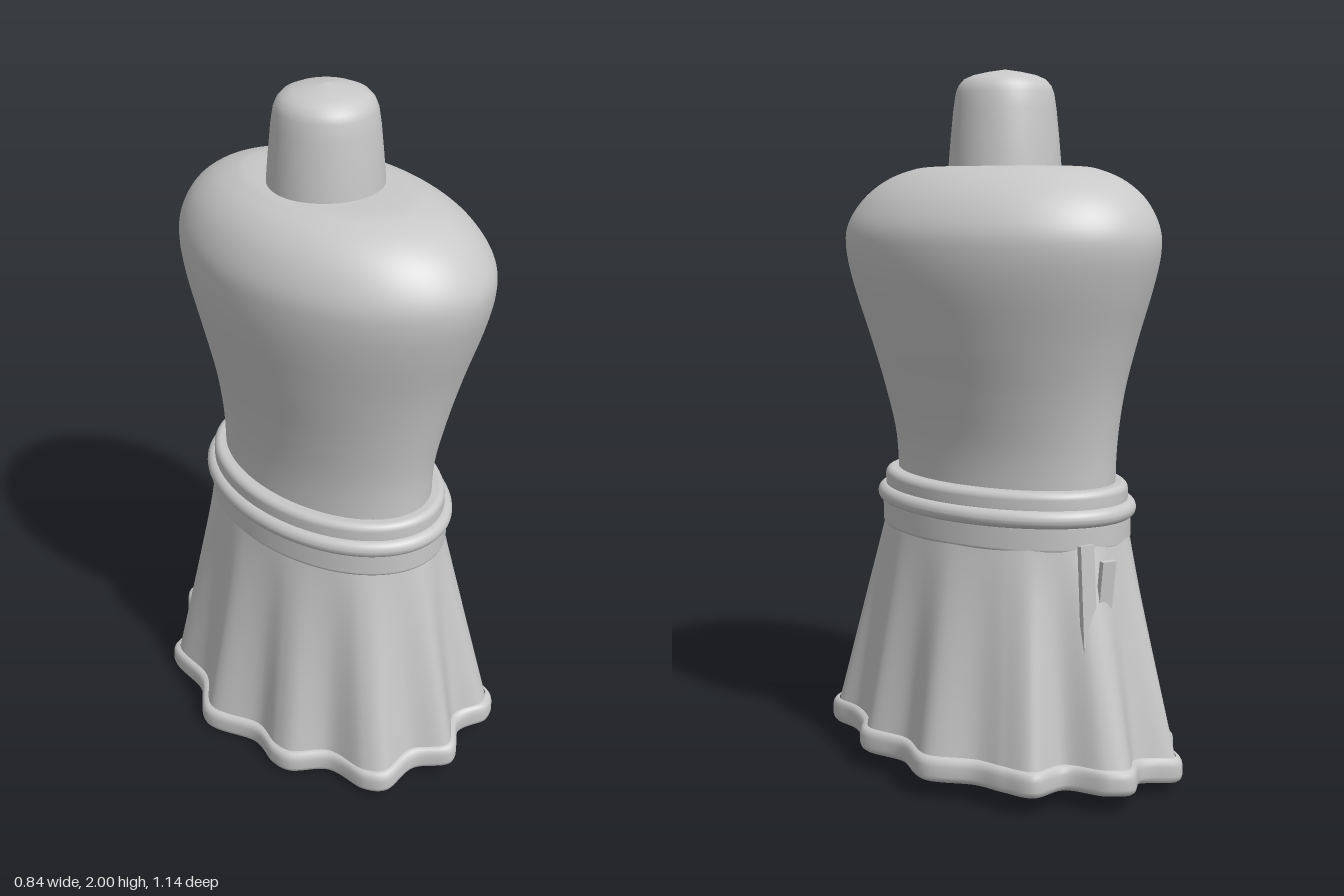
import * as THREE from 'three';

const gray = new THREE.MeshStandardMaterial({ color: 0xc8c8c8 });
gray.name = 'plainGray';

// Skin closed rings of equal length, listed from bottom to top
function loft(name, rings) {
  const n = rings[0].length, pos = [], idx = [];
  rings.forEach(r => r.forEach(p => pos.push(p[0], p[1], p[2])));
  for (let i = 0; i < rings.length - 1; i++) {
    for (let j = 0; j < n; j++) {
      const a = i * n + j, b = i * n + (j + 1) % n;
      idx.push(a, a + n, b, b, a + n, b + n);
    }
  }
  const g = new THREE.BufferGeometry();
  g.setAttribute('position', new THREE.Float32BufferAttribute(pos, 3));
  g.setIndex(idx);
  g.computeVertexNormals();
  const m = new THREE.Mesh(g, gray);
  m.name = name;
  return m;
}

// Oval ring from its height and its limits in x and z
function oval([y, x0, x1, z0, z1], n = 96) {
  return Array.from({ length: n }, (_, j) => {
    const a = j / n * Math.PI * 2;
    return [(x0 + x1) / 2 + (x1 - x0) / 2 * Math.cos(a), y, (z0 + z1) / 2 + (z1 - z0) / 2 * Math.sin(a)];
  });
}

// Smooth oval body through a few cross-sections
function ovalBody(name, rows, steps) {
  const tracks = rows[0].map((_, k) => rows.map(r => r[k]));
  const at = (v, t) => {
    const s = Math.min(Math.floor(t), v.length - 2), u = t - s;
    const p = [-1, 0, 1, 2].map(o => v[Math.max(0, Math.min(v.length - 1, s + o))]);
    const c = (p[2] - p[0]) / 2, d = (p[3] - p[1]) / 2;
    return p[1] + c * u + (3 * (p[2] - p[1]) - 2 * c - d) * u * u + (2 * (p[1] - p[2]) + c + d) * u ** 3;
  };
  const total = (rows.length - 1) * steps;
  return loft(name, Array.from({ length: total + 1 }, (_, i) => oval(tracks.map(v => at(v, i / steps)))));
}

// Oval band with a given half width in x and z and a rounded edge
function band(name, y0, y1, rx, rz, round) {
  const rings = [], ring = (y, d) => oval([y, -rx + d, rx - d, -rz + 0.005 + d, rz + 0.005 - d]);
  rings.push(ring(y0, 0.1));
  for (let k = 0; k <= 12; k++) {
    const a = -Math.PI / 2 + k / 12 * Math.PI, s = Math.sin(a);
    const y = s < 0 ? y0 + round * (1 + s) : y1 - round * (1 - s);
    rings.push(ring(y, round * (1 - Math.cos(a))));
    if (k === 6) rings.push(ring(y0 + round, 0));
  }
  rings.push(ring(y1, 0.1));
  rings.sort((p, q) => p[0][1] - q[0][1]);
  return loft(name, rings);
}

// Pleated skirt outline at the hem, from the left side round to the front
const hemPoints = [
  [0.418, -0.06], [0.36, 0.08], [0.368, 0.23], [0.305, 0.3], [0.257, 0.395], [0.238, 0.495], [0.185, 0.525],
  [0.09, 0.5], [-0.014, 0.57], [-0.11, 0.503], [-0.225, 0.505], [-0.266, 0.456], [-0.288, 0.325], [-0.373, 0.24],
  [-0.385, 0.18], [-0.367, 0.08], [-0.422, -0.09], [-0.343, -0.213], [-0.312, -0.39], [-0.196, -0.417],
  [-0.15, -0.517], [-0.09, -0.575], [0.015, -0.518], [0.115, -0.563], [0.17, -0.525], [0.215, -0.41],
  [0.315, -0.383], [0.34, -0.29], [0.352, -0.2],
];

function skirtRing(outline, y, f, inset) {
  return outline.map(p => {
    const a = Math.atan2(p.z / 0.56, p.x / 0.4), k = 1 - inset / Math.hypot(p.x, p.z);
    const drop = 0.05 * THREE.MathUtils.clamp((0.15 - p.x) / 0.55, 0, 1);
    return [
      THREE.MathUtils.lerp(0.272 * Math.cos(a), p.x * k, f), y - drop * f,
      THREE.MathUtils.lerp(0.4 * Math.sin(a), p.z * k, f),
    ];
  });
}

export function createModel() {
  const model = new THREE.Group();
  model.name = 'dressForm';

  // Torso: height, x limits, z limits
  model.add(ovalBody('torso', [
    [0.8, -0.235, 0.228, -0.36, 0.372],
    [0.95, -0.237, 0.237, -0.366, 0.375],
    [1.1, -0.257, 0.272, -0.388, 0.402],
    [1.25, -0.289, 0.318, -0.428, 0.44],
    [1.4, -0.319, 0.36, -0.478, 0.488],
    [1.5, -0.329, 0.374, -0.503, 0.512],
    [1.57, -0.323, 0.366, -0.497, 0.506],
    [1.64, -0.293, 0.325, -0.455, 0.46],
    [1.69, -0.25, 0.27, -0.39, 0.395],
    [1.72, -0.2, 0.212, -0.315, 0.318],
    [1.732, -0.15, 0.155, -0.235, 0.235],
    [1.735, 0, 0, 0, 0],
  ], 5));

  // Neck with a domed cap
  const neckProfile = [
    [0.16, 1.7], [0.159, 1.74], [0.153, 1.81], [0.145, 1.89], [0.138, 1.935], [0.13, 1.955],
    [0.115, 1.972], [0.09, 1.983], [0.05, 1.992], [0, 2],
  ].map(p => new THREE.Vector2(...p));
  const neck = new THREE.Mesh(new THREE.LatheGeometry(neckProfile, 64), gray);
  neck.name = 'neck';
  model.add(neck);

  // Waistband in three tiers
  model.add(band('waistbandTop', 0.79, 0.856, 0.273, 0.402, 0.02));
  model.add(band('waistbandCord', 0.758, 0.808, 0.296, 0.426, 0.024));
  model.add(band('waistbandLower', 0.69, 0.77, 0.281, 0.411, 0.012));

  // Skirt
  const curve = new THREE.CatmullRomCurve3(hemPoints.map(([x, z]) => new THREE.Vector3(x, 0, z)), true);
  const outline = curve.getPoints(288).slice(0, 288);
  const skirtRings = [];
  for (let i = 0; i <= 16; i++) {
    const f = 1 - i / 16;
    skirtRings.push(skirtRing(outline, 0.73 - 0.63 * f, f, 0.018));
  }
  model.add(loft('skirt', skirtRings));

  // Rolled hem following the pleats
  const hemRows = [[0.05, 0.03], [0.052, 0.014], [0.06, 0.004], [0.072, 0], [0.1, 0], [0.112, 0.003], [0.121, 0.01], [0.123, 0.022]];
  model.add(loft('hem', hemRows.map(([y, inset]) => skirtRing(outline, y, 1, inset))));

  // Closed underside
  const rim = skirtRing(outline, 0.05, 1, 0.029);
  model.add(loft('underside', [rim.map(() => [0, 0.035, 0]), rim]));

  // Two hanging ribbon ends at the back
  const ribbons = [['longRibbonEnd', 0.125, 0.575, -0.408, 0.29, 0.05], ['shortRibbonEnd', 0.07, 0.605, -0.428, 0.135, -0.1]];
  for (const [name, x, y, z, length, tilt] of ribbons) {
    const ribbon = new THREE.Mesh(new THREE.BoxGeometry(0.045, length, 0.016), gray);
    ribbon.name = name;
    ribbon.position.set(x, y, z);
    ribbon.rotation.set(tilt, -0.25, 0);
    model.add(ribbon);
  }

  return model;
}
